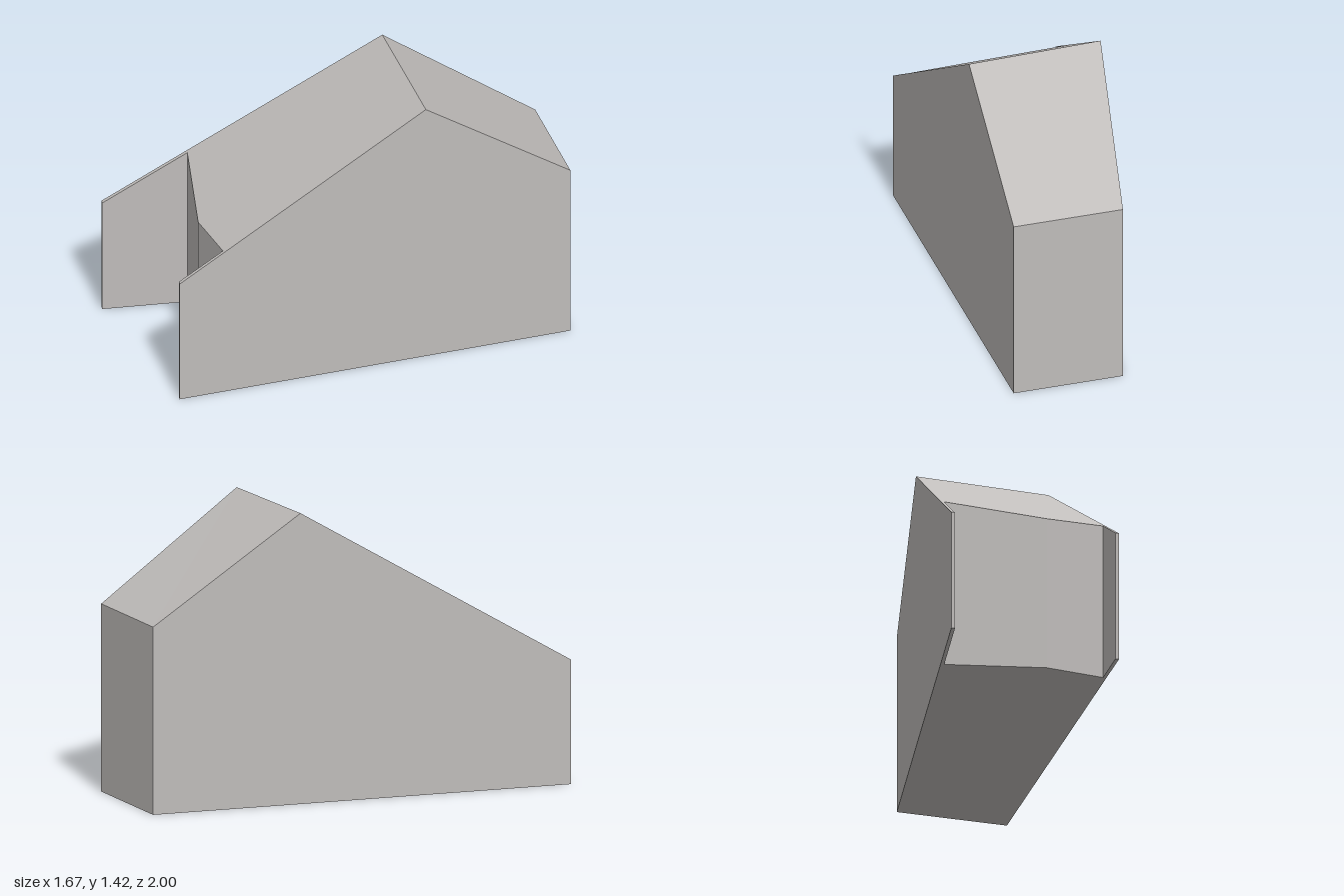
import * as THREE from 'three';

// Footprint corners [x, z], counter-clockwise seen from above
const backLeft = [0.835, -0.768], backRight = [0.34, -1];
const ridgeRight = [-0.076, -0.39], ridgeLeft = [0.524, -0.115];
const front = [
  [-0.838, 0.73], [-0.823, 0.74],                 // tip of right side wall
  [-0.592, 0.4], [-0.2, 0.695], [0.075, 0.79],    // recessed, folded facade
  [-0.021, 0.987], [-0.006, 0.997],               // tip of left side wall
];

// Height rules of the two roof planes
const frontHeight = ([x, z]) => 1.425 + 0.2413 * (x + 0.076) - 0.5628 * (z + 0.39);
const backHeight = () => 0.92;
const ridgeHeight = frontHeight;

const corner = (p, heightRule) => ({ p, top: heightRule(p) });
const A = corner(backRight, backHeight), B = corner(backLeft, backHeight);
const R1 = corner(ridgeRight, ridgeHeight), R2 = corner(ridgeLeft, ridgeHeight);
const F = front.map((p) => corner(p, frontHeight));

const low = (c) => [c.p[0], 0, c.p[1]];
const high = (c) => [c.p[0], c.top, c.p[1]];

function meshFrom(points, material, name) {
  const geometry = new THREE.BufferGeometry();
  geometry.setAttribute('position', new THREE.Float32BufferAttribute(points.flat(), 3));
  geometry.computeVertexNormals();
  const mesh = new THREE.Mesh(geometry, material);
  mesh.name = name;
  return mesh;
}

// Fill a ring of corners, facing up or down
function cap(ring, place, up) {
  const outline = ring.map((c) => new THREE.Vector2(c.p[0], -c.p[1]));
  return THREE.ShapeUtils.triangulateShape(outline, [])
    .flatMap(([a, b, c]) => (up ? [a, b, c] : [a, c, b]).map((i) => place(ring[i])));
}

// Upright wall along a run of corners
function wall(run) {
  return run.slice(1).flatMap((q, i) => {
    const p = run[i];
    return [low(p), low(q), high(q), low(p), high(q), high(p)];
  });
}

export function createModel() {
  const group = new THREE.Group();
  group.name = 'house';
  const plaster = new THREE.MeshStandardMaterial({ color: 0xbfbcba });
  plaster.name = 'warm grey';

  const add = (points, name) => group.add(meshFrom(points, plaster, name));

  // Walls
  add(wall([A, R1, F[0]]), 'rightWall');
  add(wall([F[6], R2, B]), 'leftWall');
  add(wall([B, A]), 'backWall');
  add(wall(F.slice(0, 3)), 'rightWingInside');
  add(wall(F.slice(2, 5)), 'frontFacade');
  add(wall(F.slice(4, 7)), 'leftWingInside');

  // Roof slopes and floor
  add(cap([R1, ...F, R2], high, true), 'frontRoof');
  add(cap([A, R1, R2, B], high, true), 'backRoof');
  add(cap([A, R1, ...F, R2, B], low, false), 'floor');
  return group;
}
